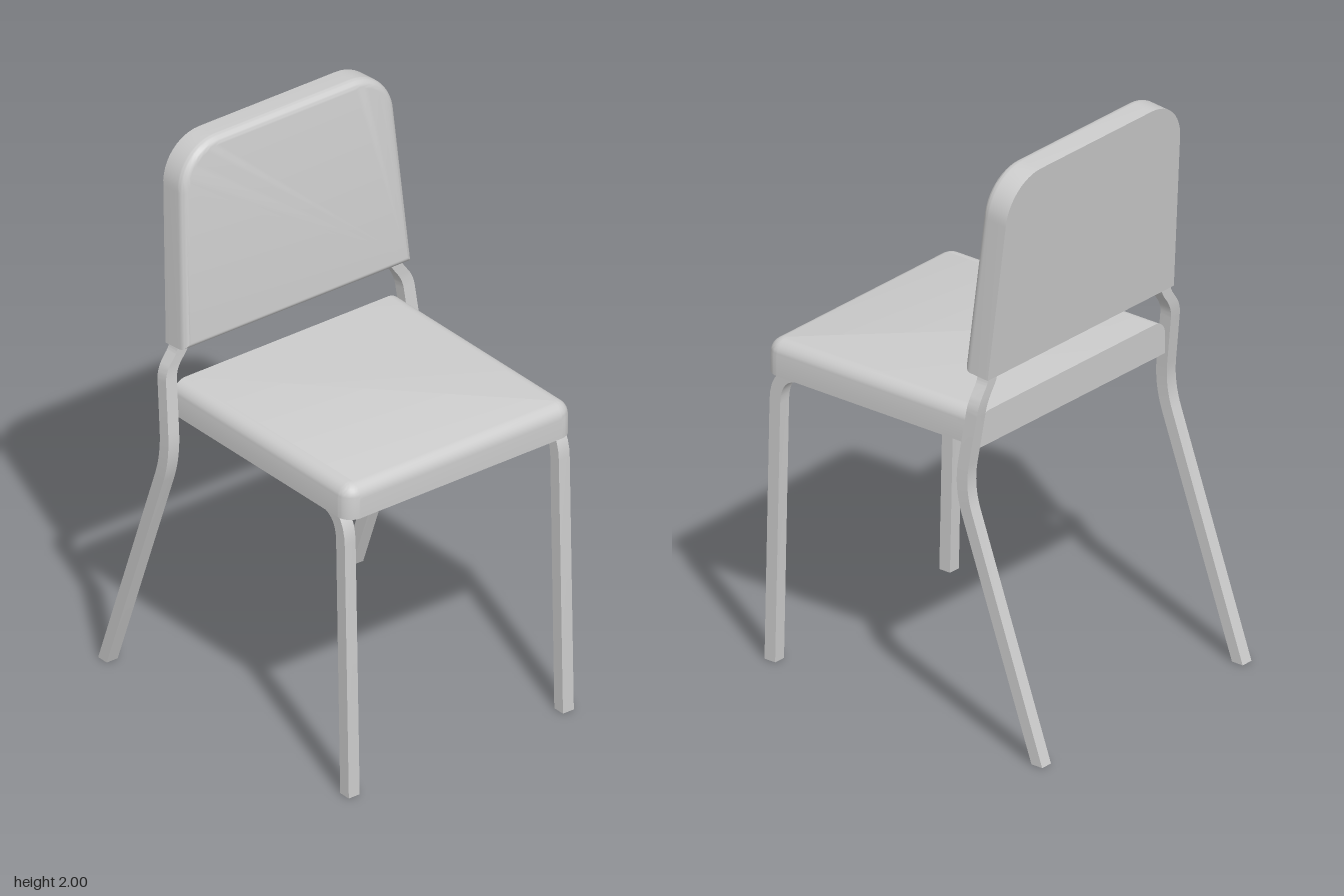
import * as THREE from 'three';
import { toCreasedNormals } from 'three/addons/utils/BufferGeometryUtils.js';

const material = new THREE.MeshStandardMaterial({ color: 0xcccccc });
const V = (x, y, z) => new THREE.Vector3(x, y, z);

// Closed solid through a stack of equal-length rings, capped at both ends
function loft(rings) {
  const n = rings[0].length;
  const points = rings.flat();
  const index = [];
  for (let k = 0; k < rings.length - 1; k++) {
    for (let i = 0; i < n; i++) {
      const a = k * n + i, b = k * n + (i + 1) % n;
      index.push(a, b, b + n, a, b + n, a + n);
    }
  }
  const last = (rings.length - 1) * n;
  for (let i = 1; i < n - 1; i++) {
    index.push(0, i + 1, i, last, last + i, last + i + 1);
  }
  const geometry = new THREE.BufferGeometry().setFromPoints(points);
  geometry.setIndex(index);
  return toCreasedNormals(geometry, 0.6);
}

// Cushion lying on y = 0, running along +x, with its upper edge filleted;
// the rear edge at x = 0 stays sharp unless filletRear is set
function cushion({ rearHalf, frontHalf, length, thickness, corner, fillet, filletRear }) {
  const halfWidth = (x) => rearHalf + (frontHalf - rearHalf) * x / length;
  const ring = (inset, y) => {
    const side = [V(filletRear ? inset : 0, y, rearHalf - inset)];
    const r = corner - inset;
    const cx = length - corner, cz = halfWidth(cx) - corner;
    for (let i = 0; i <= 12; i++) {
      const a = i / 12 * Math.PI / 2;
      side.push(V(cx + r * Math.sin(a), y, cz + r * Math.cos(a)));
    }
    return [...side, ...side.map((p) => V(p.x, p.y, -p.z)).reverse()];
  };
  const rings = [ring(0, 0)];
  for (let i = 0; i <= 8; i++) {
    const a = i / 8 * Math.PI / 2;
    rings.push(ring(fillet * (1 - Math.cos(a)), thickness - fillet * (1 - Math.sin(a))));
  }
  return loft(rings);
}

// Square bar along a path whose inner corners are eased by the given setbacks
function bar(corners, setbacks, size) {
  const path = [corners[0]];
  for (let i = 1; i < corners.length - 1; i++) {
    const p = corners[i], s = setbacks[i - 1];
    const toward = (q) => p.clone().add(q.clone().sub(p).setLength(s));
    path.push(...new THREE.QuadraticBezierCurve3(
      toward(corners[i - 1]), p, toward(corners[i + 1])).getPoints(8));
  }
  path.push(corners[corners.length - 1]);
  const h = size / 2;
  const rings = path.map((p, i) => {
    const t = path[Math.min(i + 1, path.length - 1)].clone().sub(path[Math.max(i - 1, 0)]);
    // The foot is cut level with the floor
    const n = i === 0 ? V(h, 0, 0) : V(t.y, -t.x, 0).setLength(h);
    return [[1, 1], [1, -1], [-1, -1], [-1, 1]].map(([a, b]) =>
      V(p.x + a * n.x, p.y + a * n.y, p.z + b * h));
  });
  return loft(rings);
}

export function createModel() {
  const chair = new THREE.Group();
  chair.name = 'chair';
  const add = (name, geometry) => {
    const mesh = new THREE.Mesh(geometry, material);
    mesh.name = name;
    chair.add(mesh);
    return mesh;
  };

  // Seat pad
  const seat = add('seat', cushion({
    rearHalf: 0.47, frontHalf: 0.47, length: 0.91, thickness: 0.12,
    corner: 0.055, fillet: 0.05, filletRear: false,
  }));
  seat.position.set(-0.3, 1.03, 0);

  // Backrest, stood upright and leaned back
  const lean = 0.092;
  const backrest = add('backrest', cushion({
    rearHalf: 0.472, frontHalf: 0.433, length: 0.715, thickness: 0.105,
    corner: 0.16, fillet: 0.03, filletRear: true,
  }));
  backrest.position.set(-0.335, 1.281, 0);
  backrest.rotation.set(Math.PI, 0, -(Math.PI / 2 + lean));

  // Legs, mirrored across the seat
  for (const s of [1, -1]) {
    const side = s > 0 ? 'Left' : 'Right';
    add('frontLeg' + side, bar([
      V(0.588, 0, s * 0.443), V(0.564, 1.055, s * 0.443), V(0.4, 1.055, s * 0.443),
    ], [0.12], 0.045));
    // Rear leg rises beside the seat and steps in under the backrest
    add('rearLeg' + side, bar([
      V(-0.591, 0, s * 0.508), V(-0.265, 0.9, s * 0.508), V(-0.307, 1.2, s * 0.49),
      V(-0.307, 1.27, s * 0.44), V(-0.307, 1.33, s * 0.435),
    ], [0.09, 0.035, 0.02], 0.045));
  }
  return chair;
}
